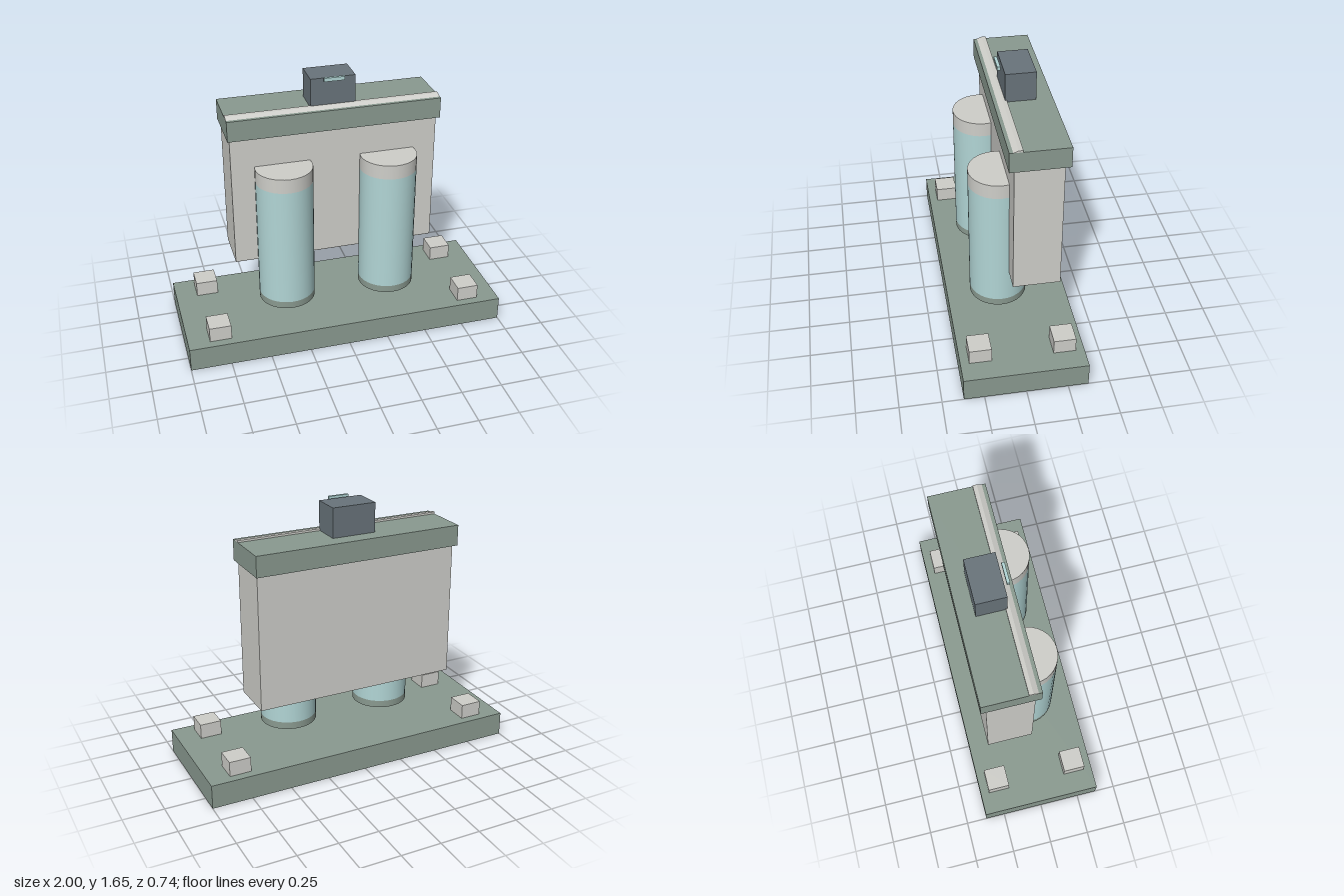
import * as THREE from 'three';

const material = (name, color) => {
  const m = new THREE.MeshStandardMaterial({ color });
  m.name = name;
  return m;
};

export function createModel() {
  const sage = material('sage green', 0x8a9a90);
  const stone = material('light grey', 0xcfcfca);
  const teal = material('pale teal', 0xb2d6d6);
  const slate = material('slate', 0x69747b);
  const model = new THREE.Group();

  const add = (name, geometry, mat, x = 0, y = 0, z = 0) => {
    const mesh = new THREE.Mesh(geometry, mat);
    mesh.name = name;
    mesh.position.set(x, y, z);
    model.add(mesh);
    return mesh;
  };
  // Box given by its limits on each axis
  const box = (name, mat, x0, x1, y0, y1, z0, z1) =>
    add(name, new THREE.BoxGeometry(x1 - x0, y1 - y0, z1 - z0), mat,
      (x0 + x1) / 2, (y0 + y1) / 2, (z0 + z1) / 2);

  // Base plate with four corner blocks
  box('base', sage, -1, 1, 0, 0.15, -0.372, 0.372);
  for (const sx of [-1, 1]) for (const sz of [-1, 1]) {
    const block = box('cornerBlock', stone, -0.067, 0.067, 0.15, 0.243, -0.067, 0.067);
    block.position.x = sx * 0.8;
    block.position.z = sz * 0.252;
  }

  // Two columns, each with a foot band, shaft and cap
  const drum = (name, mat, x, y0, y1) =>
    add(name, new THREE.CylinderGeometry(0.174, 0.174, y1 - y0, 32), mat, x, (y0 + y1) / 2, 0.061);
  for (const x of [-0.325, 0.325]) {
    drum('columnFoot', sage, x, 0.24, 0.285);
    drum('columnShaft', teal, x, 0.285, 1.05);
    drum('columnCap', stone, x, 1.05, 1.14);
  }

  // Wall body and its lintel
  box('wall', stone, -0.635, 0.635, 0.498, 1.328, -0.263, 0.021);
  box('lintel', sage, -0.65, 0.65, 1.333, 1.46, -0.295, 0.052);

  // Low trim strip with a sloping front
  const profile = new THREE.Shape([[0.03, 0], [-0.025, 0], [-0.025, 0.012], [0, 0.012]]
    .map(([z, y]) => new THREE.Vector2(-z, y)));
  const trim = add('trimStrip',
    new THREE.ExtrudeGeometry(profile, { depth: 1.3, bevelEnabled: false }), stone, -0.65, 1.46, 0);
  trim.rotation.y = Math.PI / 2;

  // Crowning block and small plate in front of it
  box('crownBlock', slate, -0.138, 0.135, 1.46, 1.64, -0.196, -0.015);
  box('crownPlate', teal, -0.064, 0.062, 1.628, 1.65, 0, 0.018);
  return model;
}
